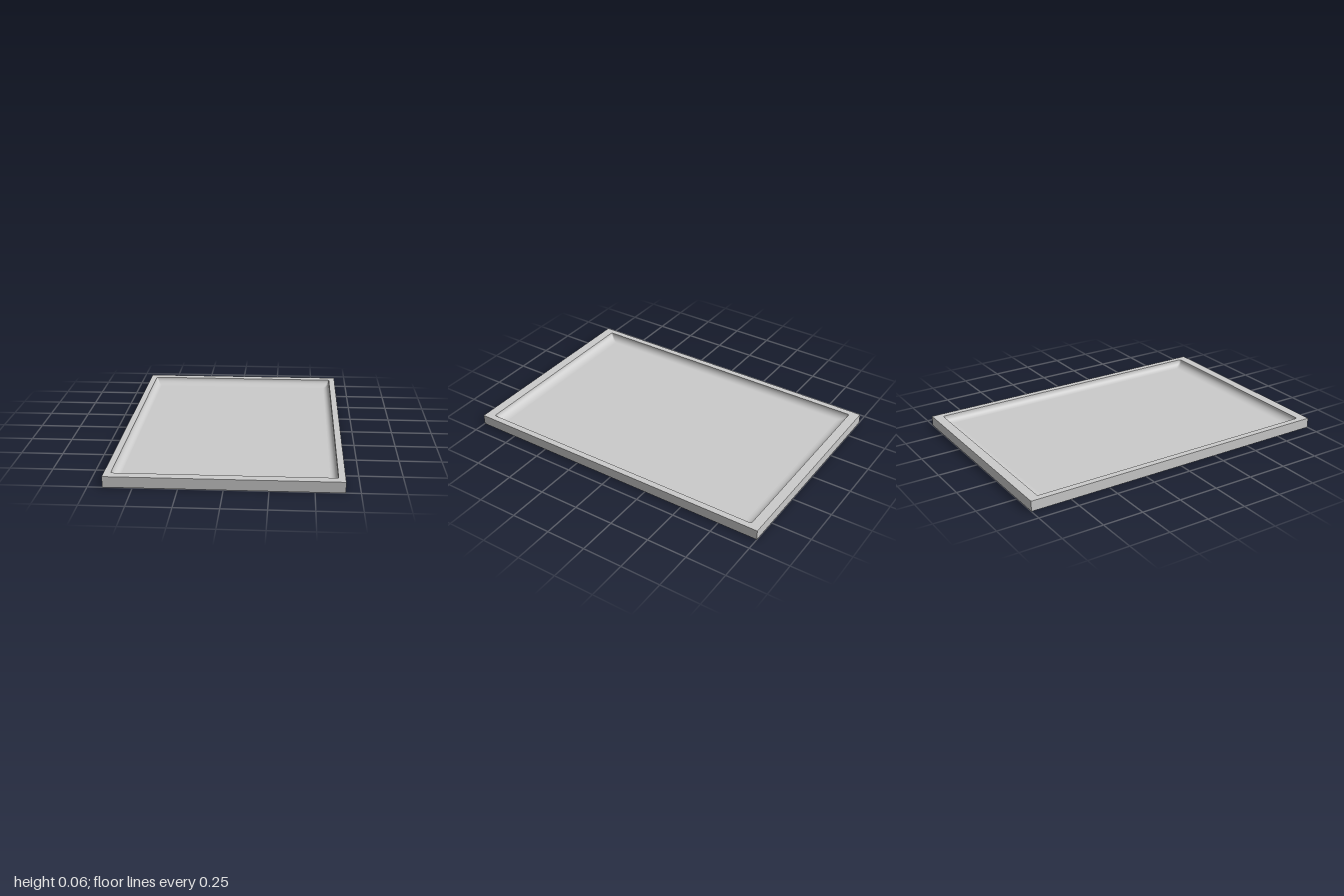
import * as THREE from 'three';

const W = 1.334, D = 2, H = 0.063;     // outer size
const FLOOR = 0.02;                    // height of the recessed floor
const OPEN_X = 0.628, OPEN_Z = 0.94;   // half size of the opening
const COVE_X = 0.04, COVE_Z = 0.06;    // reach of the curved inner wall

// Rounded rectangle outline, counter-clockwise seen from above
function outline(hx, hz, r = 0.01) {
  const pts = [];
  [[1, 1], [-1, 1], [-1, -1], [1, -1]].forEach(([sx, sz], c) => {
    for (let k = 0; k <= 4; k++) {
      const a = (c + k / 4) * Math.PI / 2;
      pts.push(new THREE.Vector2(sx * (hx - r) + r * Math.cos(a), sz * (hz - r) + r * Math.sin(a)));
    }
  });
  return pts;
}

// Concave wall lofted through shrinking outlines from rim to floor
function coveGeometry(steps = 10) {
  const pos = [], idx = [];
  let n = 0;
  for (let s = 0; s <= steps; s++) {
    const a = s / steps * Math.PI / 2, inset = 1 - Math.cos(a);
    const ring = outline(OPEN_X - COVE_X * inset, OPEN_Z - COVE_Z * inset);
    const y = H - (H - FLOOR) * Math.sin(a);
    n = ring.length;
    ring.forEach(p => pos.push(p.x, y, -p.y));
  }
  for (let s = 0; s < steps; s++) {
    for (let i = 0; i < n; i++) {
      const j = (i + 1) % n, a = s * n + i, b = s * n + j;
      idx.push(a, b, b + n, a, b + n, a + n);
    }
  }
  const g = new THREE.BufferGeometry();
  g.setAttribute('position', new THREE.Float32BufferAttribute(pos, 3));
  g.setIndex(idx);
  g.computeVertexNormals();
  return g;
}

export function createModel() {
  const group = new THREE.Group();
  group.name = 'tray';
  const material = new THREE.MeshStandardMaterial({ color: 0xcccccc });
  const add = (name, geometry) => {
    const mesh = new THREE.Mesh(geometry, material);
    mesh.name = name;
    group.add(mesh);
  };

  // Outer sides and underside: a box without its top face
  const shell = new THREE.BoxGeometry(W, H, D).translate(0, H / 2, 0);
  const index = Array.from(shell.index.array);
  index.splice(12, 6);
  shell.setIndex(index);
  shell.clearGroups();
  add('outerShell', shell);

  // Flat rim around the opening
  const rim = new THREE.Shape([[1, 1], [-1, 1], [-1, -1], [1, -1]]
    .map(([x, y]) => new THREE.Vector2(x * W / 2, y * D / 2)));
  rim.holes.push(new THREE.Path(outline(OPEN_X, OPEN_Z)));
  add('rim', new THREE.ShapeGeometry(rim).rotateX(-Math.PI / 2).translate(0, H, 0));

  // Curved inner wall
  add('innerWall', coveGeometry());

  // Recessed floor
  const floor = new THREE.Shape(outline(OPEN_X - COVE_X, OPEN_Z - COVE_Z));
  add('floor', new THREE.ShapeGeometry(floor).rotateX(-Math.PI / 2).translate(0, FLOOR, 0));

  return group;
}
